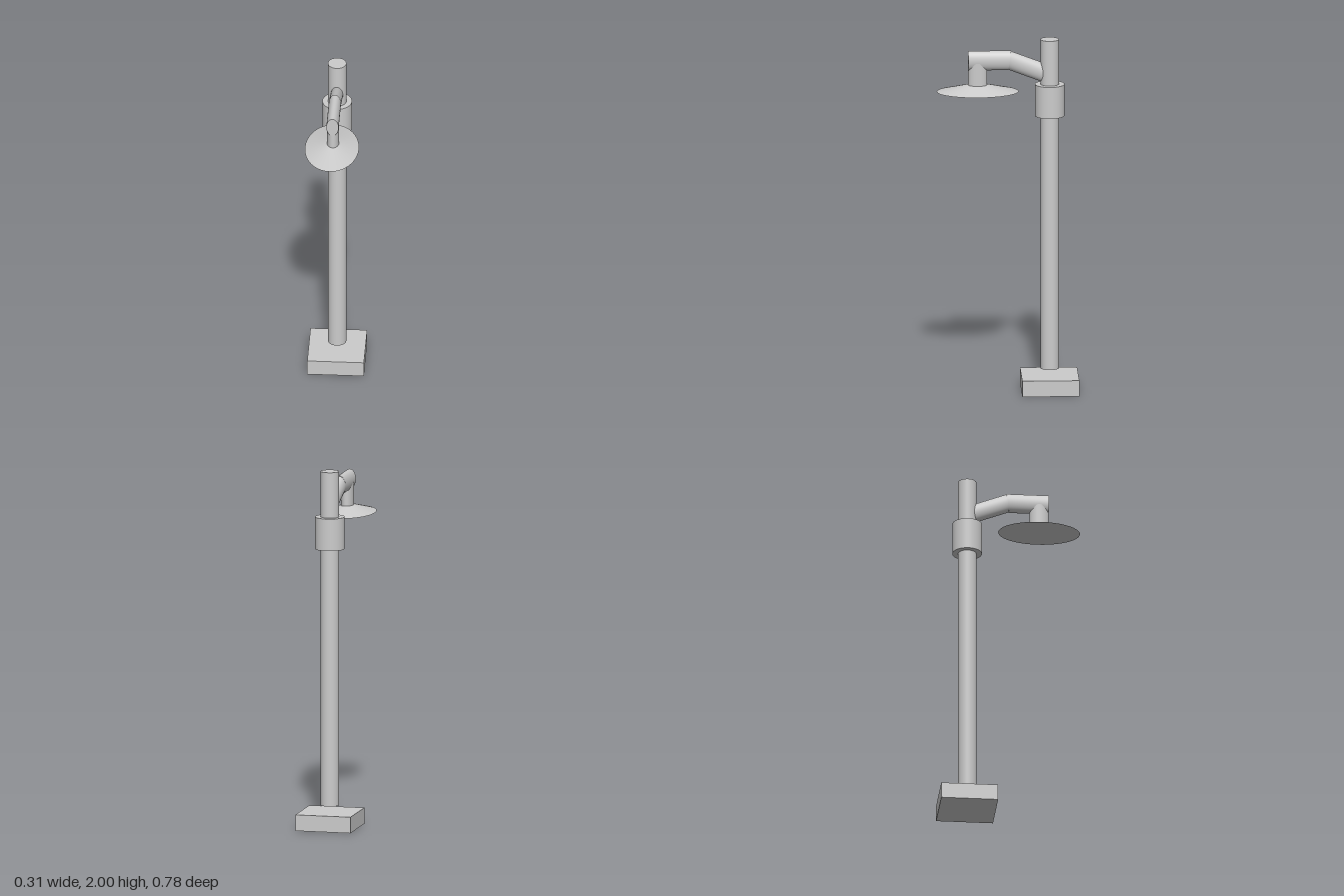
import * as THREE from 'three';

const POLE_Z = -0.235;
const LAMP_Z = 0.164;
const SIDES = 40;

export function createModel() {
  const model = new THREE.Group();
  model.name = 'streetLamp';
  const material = new THREE.MeshStandardMaterial({ color: 0xcccccc });

  function add(name, geometry, x, y, z) {
    const mesh = new THREE.Mesh(geometry, material);
    mesh.name = name;
    mesh.position.set(x, y, z);
    model.add(mesh);
    return mesh;
  }

  // Upright round part between two heights; scale (sx, sz) makes it elliptical
  function upright(name, rTop, rBottom, y0, y1, x, z, sx = 1, sz = 1) {
    const geometry = new THREE.CylinderGeometry(rTop, rBottom, y1 - y0, SIDES);
    geometry.scale(sx, 1, sz);
    return add(name, geometry, x, (y0 + y1) / 2, z);
  }

  // Elliptical arm section between two centres [y, z], each end cut at its own slant
  function armSection(name, back, front, backSlant, frontSlant) {
    const geometry = new THREE.CylinderGeometry(1, 1, 1, SIDES);
    geometry.rotateX(Math.PI / 2);
    const p = geometry.attributes.position;
    for (let i = 0; i < p.count; i++) {
      const atFront = p.getZ(i) > 0;
      const end = atFront ? front : back;
      const slant = atFront ? frontSlant : backSlant;
      const dz = slant * p.getY(i) * 0.055;
      const slope = (front[0] - back[0]) / (front[1] - back[1]);
      p.setXYZ(i, p.getX(i) * 0.034, end[0] + p.getY(i) * 0.055 + slope * dz, end[1] + dz);
    }
    geometry.computeVertexNormals();
    // Match the normals along the side seam
    const n = geometry.attributes.normal;
    for (const row of [0, SIDES + 1]) {
      const a = row, b = row + SIDES;
      const v = new THREE.Vector3().fromBufferAttribute(n, a)
        .add(new THREE.Vector3().fromBufferAttribute(n, b)).normalize();
      n.setXYZ(a, v.x, v.y, v.z);
      n.setXYZ(b, v.x, v.y, v.z);
    }
    return add(name, geometry, 0, 0, 0);
  }

  // Square foot, with the pole floating just above it
  add('base', new THREE.BoxGeometry(0.314, 0.09, 0.316), 0, 0.045, POLE_Z);
  upright('pole', 0.051, 0.051, 0.125, 2, 0, POLE_Z);
  upright('collar', 0.082, 0.082, 1.565, 1.745, 0, POLE_Z);

  // Bent arm: rising out of the pole, then level
  const bend = [1.882, -0.012];
  armSection('armRise', [1.805, -0.215], bend, 0, -0.14);
  armSection('armLevel', bend, [1.882, 0.217], -0.14, 0);

  // Hanging stem and wide shallow shade
  upright('stem', 1, 1, 1.74, 1.87, 0, LAMP_Z, 0.034, 0.053);
  upright('shade', 0.23, 1, 1.705, 1.745, -0.006, LAMP_Z, 0.15, 0.227);

  return model;
}
